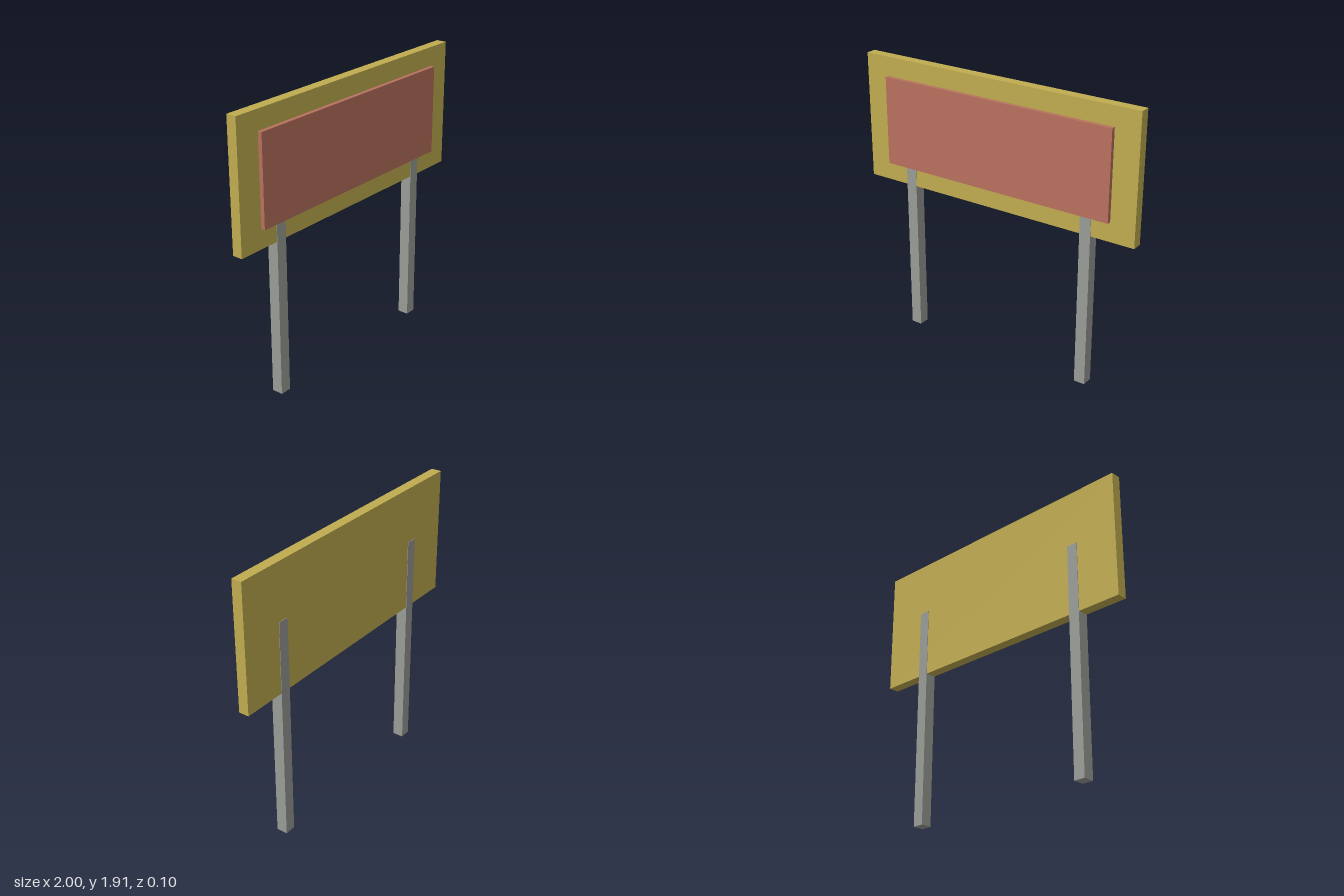
import * as THREE from 'three';

const material = (name, color) => {
  const m = new THREE.MeshStandardMaterial({ color });
  m.name = name;
  return m;
};

// Box given by its lower and upper corners
function box(name, [x0, y0, z0], [x1, y1, z1], mat) {
  const mesh = new THREE.Mesh(new THREE.BoxGeometry(x1 - x0, y1 - y0, z1 - z0), mat);
  mesh.name = name;
  mesh.position.set((x0 + x1) / 2, (y0 + y1) / 2, (z0 + z1) / 2);
  return mesh;
}

export function createModel() {
  const group = new THREE.Group();
  group.name = 'signboard';
  const yellow = material('mustard yellow', 0xc0ac4f);
  const red = material('brick red', 0xb7705e);
  const grey = material('post grey', 0x989b95);

  // Backing board with a raised panel on its front
  group.add(box('board', [-1, 1.053, -0.047], [1, 1.906, 0.022], yellow));
  group.add(box('panel', [-0.832, 1.182, 0.015], [0.832, 1.777, 0.05], red));

  // Two square posts, standing slightly proud of the board front and back
  for (const [name, x] of [['leftPost', 0.665], ['rightPost', -0.665]]) {
    group.add(box(name, [x - 0.038, 0, -0.05], [x + 0.038, 1.53, 0.025], grey));
  }
  return group;
}
